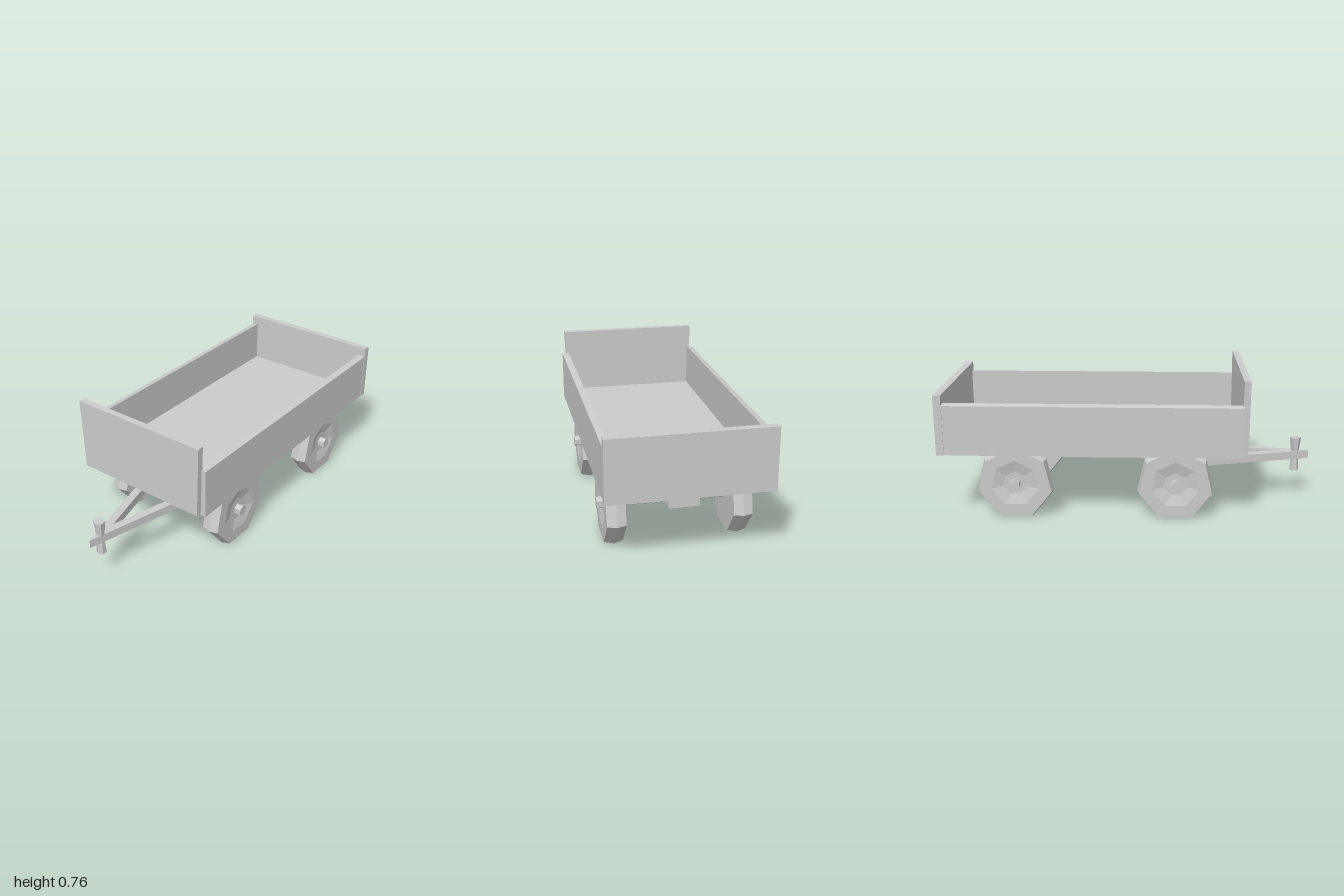
import * as THREE from 'three';

const grey = new THREE.MeshStandardMaterial({ color: 0xcccccc, flatShading: true });

function add(parent, name, geometry, x = 0, y = 0, z = 0) {
  const mesh = new THREE.Mesh(geometry, grey);
  mesh.name = name;
  mesh.position.set(x, y, z);
  parent.add(mesh);
  return mesh;
}

// Box given by its limits on each axis
function box(parent, name, [x0, x1], [y0, y1], [z0, z1]) {
  const g = new THREE.BoxGeometry(x1 - x0, y1 - y0, z1 - z0);
  return add(parent, name, g, (x0 + x1) / 2, (y0 + y1) / 2, (z0 + z1) / 2);
}

// Outline of [x, y] points extruded along z, centred on z = 0
function plate(points, depth) {
  const shape = new THREE.Shape(points.map(([x, y]) => new THREE.Vector2(x, y)));
  return new THREE.ExtrudeGeometry(shape, { depth, bevelEnabled: false }).translate(0, 0, -depth / 2);
}

// Turns a y-axis solid so that its axis runs along x with one corner on top
const layAlongX = (g) => g.rotateZ(-Math.PI / 2).rotateX(-Math.PI / 2);

// Seven-sided wheel: ridged tread, flat inner face, dished outer face
function wheelGeometry() {
  const profile = [
    [0, -0.048], [0.198, -0.048], [0.21, 0], [0.198, 0.048],
    [0.128, 0.048], [0.065, 0.033], [0, 0.033],
  ].map(([r, h]) => new THREE.Vector2(r, h));
  return layAlongX(new THREE.LatheGeometry(profile, 7));
}

export function createModel() {
  const model = new THREE.Group();
  model.name = 'trailer';

  // Open cargo bed
  const bed = new THREE.Group();
  bed.name = 'cargoBed';
  model.add(bed);
  box(bed, 'floor', [-0.375, 0.375], [0.36, 0.402], [-0.97, 0.592]);
  for (const s of [1, -1]) {
    const outline = [[0.37, 0.36], [0.405, 0.36], [0.405, 0.625], [0.37, 0.633]].map(([x, y]) => [s * x, y]);
    add(bed, s > 0 ? 'leftSideBoard' : 'rightSideBoard', plate(outline, 1.555), 0, 0, -0.1825);
  }
  box(bed, 'tailBoard', [-0.408, 0.408], [0.36, 0.68], [-1, -0.96]);
  add(bed, 'headBoard',
    plate([[-0.375, 0.37], [0.375, 0.37], [0.388, 0.76], [-0.388, 0.76]], 0.035), 0, 0, 0.6075);

  // Central chassis beam, slightly slanted at its front end
  const beam = plate([[-0.85, 0.245], [0.495, 0.245], [0.505, 0.365], [-0.85, 0.365]], 0.154);
  add(model, 'chassisBeam', beam.rotateY(-Math.PI / 2));

  // Axles with raised centre blocks, and wheels
  const wheel = wheelGeometry();
  for (const [end, z] of [['front', 0.25], ['rear', -0.6]]) {
    const axle = new THREE.Group();
    axle.name = end + 'Axle';
    axle.position.set(0, 0.19, z);
    model.add(axle);
    add(axle, 'axleShaft', layAlongX(new THREE.CylinderGeometry(0.03, 0.03, 0.776, 6)));
    add(axle, 'axleBlock',
      plate([[-0.13, -0.015], [0.13, -0.015], [0.13, 0.015], [0.05, 0.06], [-0.05, 0.06], [-0.13, 0.015]], 0.054));
    for (const s of [1, -1]) {
      const mesh = add(axle, s > 0 ? 'leftWheel' : 'rightWheel', wheel, s * 0.317, 0, 0);
      if (s < 0) mesh.rotation.y = Math.PI;
    }
  }

  // V-shaped drawbar, drawn flat in x and z and then laid down
  const drawbar = plate([
    [0, 1], [-0.16, 0.39], [-0.12, 0.38], [0, 0.83], [0.12, 0.38], [0.16, 0.39],
  ], 0.045);
  add(model, 'drawbar', drawbar.rotateX(Math.PI / 2), 0, 0.2515, 0);

  // Waisted hitch pin at the tip
  const pin = [[0, 0.16], [0.026, 0.16], [0.021, 0.23], [0.022, 0.275], [0.031, 0.35], [0, 0.35]];
  add(model, 'hitchPin',
    new THREE.LatheGeometry(pin.map(([r, y]) => new THREE.Vector2(r, y)), 6), 0, 0, 0.925);

  return model;
}
